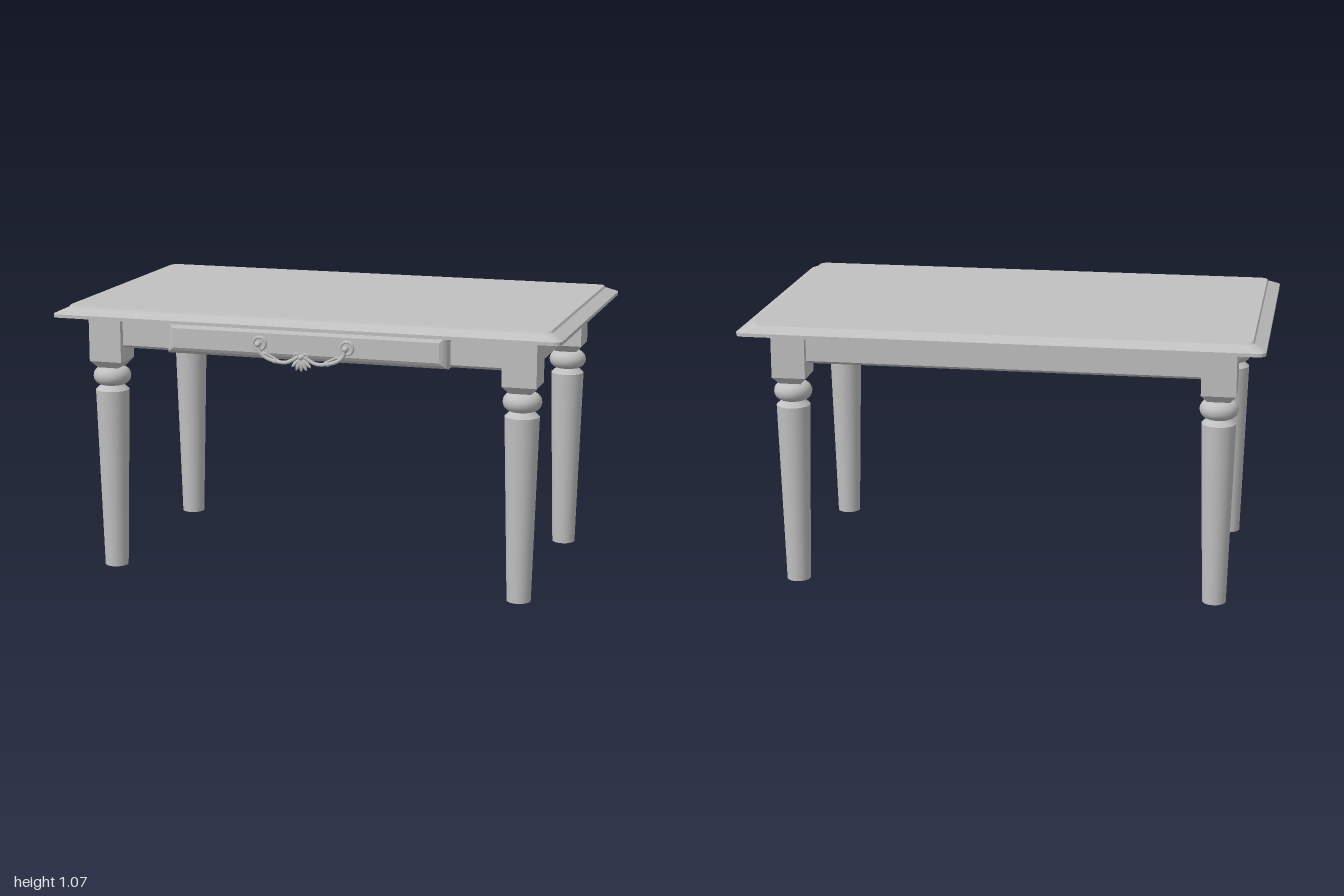
import * as THREE from 'three';

const grey = new THREE.MeshStandardMaterial({ color: 0xc0c0c0 });
grey.name = 'grey';

function add(parent, name, geometry, x = 0, y = 0, z = 0) {
  const mesh = new THREE.Mesh(geometry, grey);
  mesh.name = name;
  mesh.position.set(x, y, z);
  parent.add(mesh);
  return mesh;
}

// Outline of a rectangle with rounded corners, as [x, z] pairs
function outline(hx, hz, r) {
  const pts = [];
  const steps = r > 0 ? 5 : 0;
  [[1, 1], [-1, 1], [-1, -1], [1, -1]].forEach(([sx, sz], q) => {
    for (let i = 0; i <= steps; i++) {
      const a = (q + (steps ? i / steps : 0)) * Math.PI / 2;
      pts.push([sx * (hx - r) + r * Math.cos(a), sz * (hz - r) + r * Math.sin(a)]);
    }
  });
  return pts;
}

// Closed solid through stacked rectangles [halfX, halfZ, y], bottom to top
function loft(sections, r = 0) {
  const pos = [], index = [];
  const n = outline(1, 1, r).length;
  for (const [hx, hz, y] of sections) {
    for (const [x, z] of outline(hx, hz, r)) pos.push(x, y, z);
  }
  for (let s = 0; s < sections.length - 1; s++) {
    for (let i = 0; i < n; i++) {
      const a = s * n + i, b = s * n + (i + 1) % n;
      index.push(a, a + n, b, b, a + n, b + n);
    }
  }
  const top = (sections.length - 1) * n;
  for (let i = 1; i < n - 1; i++) {
    index.push(0, i, i + 1);
    index.push(top, top + i + 1, top + i);
  }
  const g = new THREE.BufferGeometry();
  g.setAttribute('position', new THREE.Float32BufferAttribute(pos, 3));
  g.setIndex(index);
  const flat = g.toNonIndexed();
  flat.computeVertexNormals();
  return flat;
}

function createLeg(x, z) {
  const leg = new THREE.Group();
  leg.name = 'leg';
  leg.position.set(x, 0, z);
  // Square block with a tapered underside
  add(leg, 'legBlock', loft([[0.042, 0.042, 0.81], [0.066, 0.066, 0.838], [0.066, 0.066, 1.024]]));
  // Turned ring, collar and tapering shaft
  add(leg, 'legNeck', new THREE.CylinderGeometry(0.042, 0.042, 0.08, 32), 0, 0.775, 0);
  add(leg, 'legRing', new THREE.TorusGeometry(0.038, 0.036, 20, 40).rotateX(Math.PI / 2), 0, 0.774, 0);
  add(leg, 'legCollar', new THREE.CylinderGeometry(0.042, 0.066, 0.022, 32), 0, 0.729, 0);
  add(leg, 'legShaft', new THREE.CylinderGeometry(0.066, 0.046, 0.718, 32), 0, 0.359, 0);
  return leg;
}

function tube(points, radius) {
  const curve = new THREE.CatmullRomCurve3(points.map(p => new THREE.Vector3(...p)));
  return new THREE.TubeGeometry(curve, 28, radius, 8);
}

function createHandle() {
  const handle = new THREE.Group();
  handle.name = 'drawerHandle';
  for (const s of [-1, 1]) {
    // Round back plate with a rim, and the post that carries the bail
    const x = s * 0.173, y = 0.956;
    add(handle, 'rosette', new THREE.CylinderGeometry(0.022, 0.03, 0.01, 24).rotateX(Math.PI / 2), x, y, 0.529);
    add(handle, 'rosetteRim', new THREE.TorusGeometry(0.024, 0.005, 8, 24), x, y, 0.533);
    add(handle, 'post', new THREE.CylinderGeometry(0.008, 0.01, 0.024, 12).rotateX(Math.PI / 2), x, y, 0.543);
    add(handle, 'postKnob', new THREE.SphereGeometry(0.012, 14, 10), x, y, 0.551);
    // Swept bail with scrolls
    add(handle, 'bail', tube([
      [x, y, 0.55], [s * 0.165, 0.928, 0.551], [s * 0.14, 0.907, 0.551],
      [s * 0.1, 0.895, 0.551], [s * 0.06, 0.893, 0.551], [s * 0.03, 0.906, 0.551], [s * 0.012, 0.918, 0.551],
    ], 0.0075));
    add(handle, 'bailLeaf', tube([
      [s * 0.16, 0.92, 0.551], [s * 0.142, 0.922, 0.552], [s * 0.118, 0.912, 0.552], [s * 0.09, 0.898, 0.551],
    ], 0.005));
    add(handle, 'scroll', new THREE.TorusGeometry(0.008, 0.005, 8, 14), s * 0.018, 0.921, 0.551);
    add(handle, 'bailBead', new THREE.SphereGeometry(0.01, 12, 8), s * 0.105, 0.896, 0.551);
  }
  // Fan shell at the centre
  for (let i = -2; i <= 2; i++) {
    const lobe = add(handle, 'shellLobe', new THREE.SphereGeometry(1, 12, 8));
    const a = i * 0.42, d = 0.026;
    lobe.scale.set(0.008, 0.026, 0.007);
    lobe.rotation.z = a;
    lobe.position.set(Math.sin(a) * d, 0.912 - Math.cos(a) * d, 0.551);
  }
  add(handle, 'shellBead', new THREE.SphereGeometry(0.012, 14, 10), 0, 0.916, 0.551);
  return handle;
}

export function createModel() {
  const table = new THREE.Group();
  table.name = 'table';

  // Slab with a sloped border and a small raised field
  add(table, 'tabletop', loft([
    [1, 0.6, 1.024], [1, 0.6, 1.037], [0.955, 0.555, 1.058], [0.95, 0.55, 1.066],
  ], 0.03));

  // Closed frame with a chamfered lower edge
  add(table, 'apron', loft([
    [0.855, 0.455, 0.893], [0.868, 0.468, 0.904], [0.868, 0.468, 1.024],
  ]));

  for (const sx of [-1, 1]) {
    for (const sz of [-1, 1]) table.add(createLeg(sx * 0.825, sz * 0.427));
  }

  // Drawer front with rounded-over edges, standing proud of the apron
  add(table, 'drawerFront', loft([
    [0.558, 0.064, 0.45], [0.558, 0.064, 0.495], [0.552, 0.059, 0.508],
    [0.541, 0.05, 0.518], [0.528, 0.038, 0.525],
  ]).rotateX(Math.PI / 2), 0, 0.957, 0);

  table.add(createHandle());
  return table;
}
